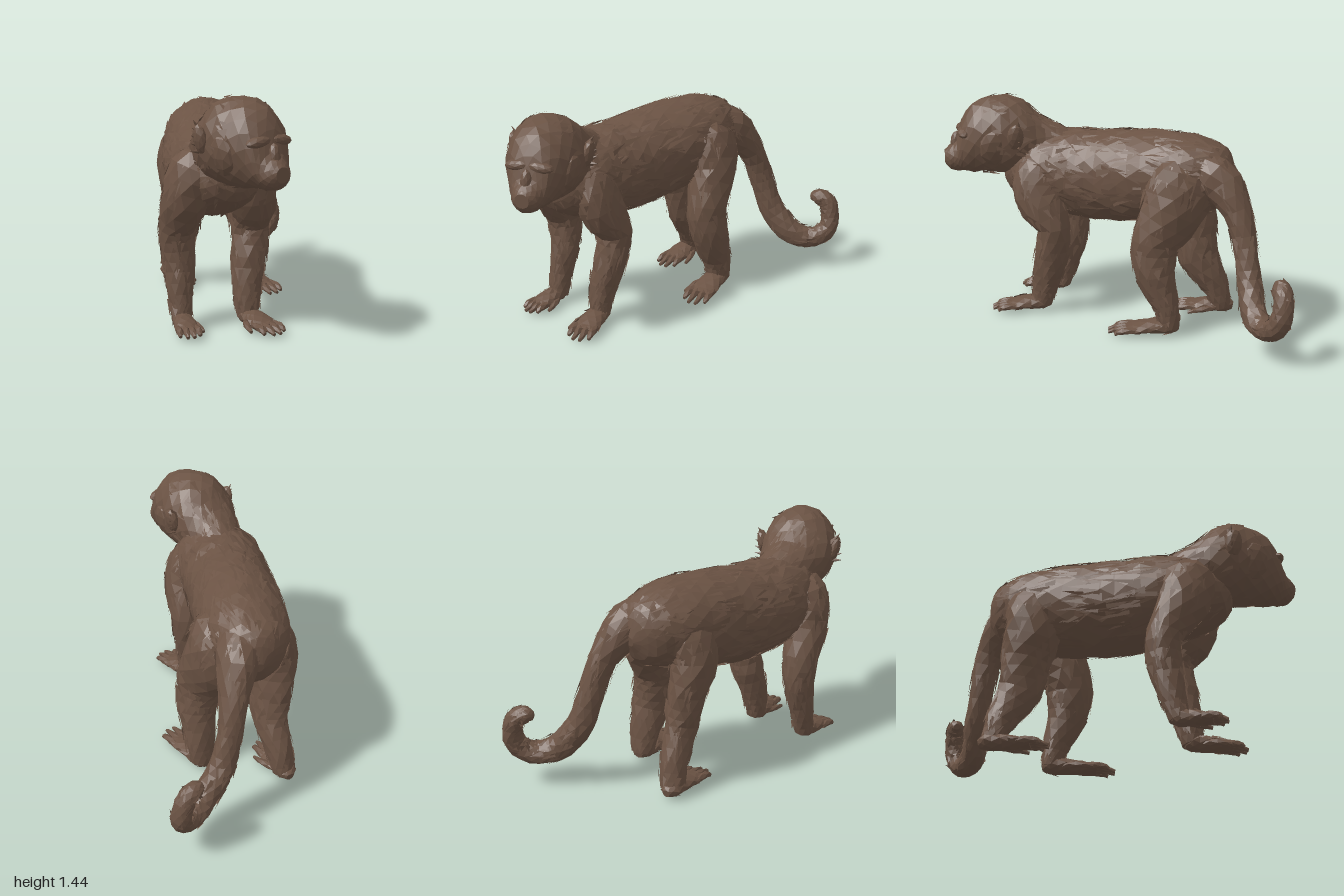
import * as THREE from 'three';

const furBrown = new THREE.MeshStandardMaterial({ color: 0x6b5344, flatShading: true, side: THREE.DoubleSide });
furBrown.name = 'furBrown';

// Seeded random numbers
let seed = 7;
const rand = () => {
  seed = (seed * 16807) % 2147483647;
  return seed / 2147483647;
};
const vary = (amount) => (rand() * 2 - 1) * amount;

const SIDE_X = new THREE.Vector3(1, 0, 0);
const SIDE_BODY = new THREE.Vector3(0.85, 0, 0.53).normalize(); // across the slanted body
const SIDE_TAIL = new THREE.Vector3(0, 0, 1);
const BACKWARD = new THREE.Vector3(0, 0, -1);

function addMesh(group, name, positions, index) {
  const geometry = new THREE.BufferGeometry();
  geometry.setAttribute('position', new THREE.Float32BufferAttribute(positions, 3));
  if (index) geometry.setIndex(index);
  geometry.computeVertexNormals();
  const mesh = new THREE.Mesh(geometry, furBrown);
  mesh.name = name;
  group.add(mesh);
}

// Lofts elliptical rings along a path of [x, y, z, sideRadius, otherRadius] and covers it with fur tufts.
// Rings follow the path unless a fixed axis is given.
function loft(name, sections, { side = SIDE_X, axis, rings = 20, sides = 12, rough = 0.05, tufts = 0, length = 0.1, from = 0, to = 0.93 } = {}) {
  const group = new THREE.Group();
  group.name = name;
  const path = new THREE.CatmullRomCurve3(sections.map((s) => new THREE.Vector3(s[0], s[1], s[2])), false, 'catmullrom');
  const radii = new THREE.CatmullRomCurve3(sections.map((s) => new THREE.Vector3(s[3], s[4], 0)), false, 'catmullrom');

  const surface = (t, angle, scale = 1, lift = 0) => {
    const tangent = axis || path.getTangent(t);
    const a = side.clone().addScaledVector(tangent, -side.dot(tangent)).normalize();
    const b = new THREE.Vector3().crossVectors(tangent, a);
    const r = radii.getPoint(t);
    return path.getPoint(t)
      .addScaledVector(a, Math.cos(angle) * (Math.max(r.x, 0.003) * scale + lift))
      .addScaledVector(b, Math.sin(angle) * (Math.max(r.y, 0.003) * scale + lift));
  };

  const positions = [];
  const index = [];
  for (let i = 0; i <= rings; i++) {
    for (let j = 0; j < sides; j++) {
      const angle = ((j + (i % 2) * 0.5) / sides) * Math.PI * 2;
      positions.push(...surface(i / rings, angle, 1 + vary(rough)).toArray());
      if (i === rings) continue;
      const k = (j + 1) % sides;
      const a = i * sides + j, b = i * sides + k, c = a + sides, d = b + sides;
      if (i % 2) index.push(a, b, d, a, d, c);
      else index.push(a, b, c, b, d, c);
    }
  }
  for (let j = 1; j < sides - 1; j++) {
    const e = rings * sides;
    index.push(0, j + 1, j, e, e + j, e + j + 1);
  }
  addMesh(group, name + 'Body', positions, index);

  // Tufts are broad blades whose tips lift off the skin
  const total = path.getLength();
  const blades = [];
  for (let n = 0; n < tufts; n++) {
    const t = from + rand() * (to - from);
    const angle = rand() * Math.PI * 2;
    const r = radii.getPoint(t);
    const half = (0.012 + rand() * 0.016) / Math.max(0.05, (r.x + r.y) / 2);
    const tip = Math.min(1, t + (length * (0.6 + rand() * 0.7)) / total);
    blades.push(
      ...surface(t, angle - half, 1, vary(0.008)).toArray(),
      ...surface(t, angle + half, 1, vary(0.008)).toArray(),
      ...surface(tip, angle + vary(0.15), 1, 0.003 + rand() * 0.012).toArray());
  }
  if (tufts) addMesh(group, name + 'Fur', blades);
  return group;
}

// Flat palm with four toes and a thumb, from heel [x, z] to toe tip [x, z]
function foot(name, heel, tip, width, thumbSide) {
  const group = new THREE.Group();
  group.name = name;
  const dx = tip[0] - heel[0], dz = tip[1] - heel[1];
  const len = Math.hypot(dx, dz);
  const across = new THREE.Vector3(dz / len, 0, -dx / len);
  const at = (f, s, y, w, h) => [heel[0] + dx * f + across.x * s, y, heel[1] + dz * f + across.z * s, w, h];
  group.add(loft('palm', [
    at(-0.12, 0, 0.05, 0.025, 0.025), at(0, 0, 0.058, width * 0.75, 0.048), at(0.25, 0, 0.058, width * 0.85, 0.047),
    at(0.5, 0, 0.05, width * 0.95, 0.035), at(0.72, 0, 0.04, width * 0.85, 0.022),
  ], { side: across, rings: 8, sides: 8, tufts: 12, length: 0.05 }));
  for (let i = 0; i < 4; i++) {
    const s = (i - 1.5) * width * 0.5;
    const reach = i === 0 || i === 3 ? 0.9 : 1;
    group.add(loft('toe', [
      at(0.5, s * 0.9, 0.045, 0.022, 0.022), at(0.78, s, 0.045, 0.022, 0.022), at(reach, s * 1.05, 0.025, 0.011, 0.012),
    ], { side: across, rings: 4, sides: 5 }));
  }
  const s = thumbSide * width;
  group.add(loft('thumb', [
    at(0.2, s * 0.5, 0.045, 0.025, 0.022), at(0.42, s * 1.0, 0.04, 0.023, 0.02), at(0.66, s * 1.25, 0.024, 0.011, 0.011),
  ], { side: across, rings: 4, sides: 5 }));
  return group;
}

function blob(name, x, y, z, sx, sy, sz, turn = 0) {
  const mesh = new THREE.Mesh(new THREE.IcosahedronGeometry(1, 1), furBrown);
  mesh.name = name;
  mesh.position.set(x, y, z);
  mesh.scale.set(sx, sy, sz);
  mesh.rotation.z = turn;
  return mesh;
}

function createHead() {
  const head = new THREE.Group();
  head.name = 'head';
  const cx = -0.58;
  // Skull runs from the muzzle back into the neck
  head.add(loft('skull', [
    [cx, 1.035, 0.998, 0.045, 0.045], [cx, 1.03, 0.965, 0.08, 0.08], [cx, 1.045, 0.92, 0.105, 0.108],
    [cx, 1.105, 0.885, 0.135, 0.17], [cx, 1.155, 0.81, 0.178, 0.228], [cx, 1.175, 0.7, 0.215, 0.255],
    [cx, 1.175, 0.58, 0.238, 0.262], [-0.575, 1.155, 0.47, 0.225, 0.24], [-0.55, 1.11, 0.35, 0.19, 0.18],
    [-0.49, 1.06, 0.2, 0.15, 0.16], [-0.43, 1.03, 0.05, 0.07, 0.08],
  ], { axis: BACKWARD, rings: 20, sides: 14, rough: 0.025, tufts: 130, from: 0.45, to: 0.9, length: 0.08 }));
  // Nose bridge, brows, eyes, cheeks and ears
  head.add(blob('nose', cx, 1.115, 0.918, 0.038, 0.09, 0.042));
  for (const s of [-1, 1]) {
    head.add(blob('brow', cx + s * 0.07, 1.21, 0.872, 0.085, 0.035, 0.045, s * -0.12));
    head.add(blob('eye', cx + s * 0.065, 1.155, 0.885, 0.028, 0.022, 0.02));
    head.add(blob('cheek', cx + s * 0.165, 1.12, 0.68, 0.06, 0.13, 0.11, s * -0.25));
    head.add(blob('ear', cx + s * 0.235, 1.2, 0.55, 0.035, 0.09, 0.055, s * -0.2));
    // Pointed hair behind each ear
    for (let i = 0; i < 5; i++) {
      const hair = new THREE.Mesh(new THREE.ConeGeometry(0.025, 0.1, 4), furBrown);
      hair.name = 'earHair';
      hair.position.set(cx + s * 0.24, 1.13 + i * 0.035, 0.53);
      hair.rotation.z = s * (-1.5 + i * 0.22);
      head.add(hair);
    }
  }
  return head;
}

export function createModel() {
  seed = 7;
  const model = new THREE.Group();
  model.name = 'monkey';
  model.add(createHead());

  model.add(loft('torso', [
    [-0.57, 1.04, 0.55, 0.12, 0.13], [-0.54, 0.98, 0.43, 0.235, 0.23], [-0.47, 0.94, 0.2, 0.275, 0.28],
    [-0.36, 0.93, 0, 0.28, 0.295], [-0.23, 0.95, -0.2, 0.28, 0.3], [-0.08, 0.99, -0.42, 0.28, 0.28],
    [0.03, 1.0, -0.6, 0.245, 0.245], [0.1, 0.98, -0.73, 0.16, 0.18], [0.13, 0.97, -0.79, 0.03, 0.03],
  ], { side: SIDE_BODY, rings: 24, sides: 18, rough: 0.03, tufts: 600, length: 0.13, to: 0.85 }));

  model.add(loft('tail', [
    [0.05, 1.09, -0.48, 0.09, 0.1], [0.18, 1.03, -0.66, 0.135, 0.13], [0.31, 0.82, -0.77, 0.09, 0.088],
    [0.375, 0.6, -0.81, 0.075, 0.08], [0.45, 0.4, -0.82, 0.08, 0.085], [0.58, 0.25, -0.82, 0.08, 0.085],
    [0.72, 0.205, -0.86, 0.075, 0.07], [0.825, 0.27, -0.9, 0.07, 0.065], [0.835, 0.38, -0.925, 0.065, 0.06],
    [0.8, 0.465, -0.93, 0.06, 0.06], [0.735, 0.485, -0.93, 0.05, 0.052], [0.695, 0.475, -0.93, 0.02, 0.02],
  ], { side: SIDE_TAIL, rings: 34, sides: 10, tufts: 150, length: 0.09 }));

  // Limbs start deep inside the torso so shoulders and hips blend in
  const limb = { side: SIDE_X, rings: 18, sides: 11, rough: 0.05, tufts: 130, length: 0.1 };
  model.add(loft('leftArm', [
    [-0.46, 1.13, 0.31, 0.04, 0.05], [-0.4, 0.99, 0.37, 0.125, 0.165], [-0.34, 0.8, 0.395, 0.14, 0.17],
    [-0.28, 0.6, 0.315, 0.11, 0.115], [-0.31, 0.4, 0.33, 0.105, 0.115], [-0.35, 0.2, 0.365, 0.085, 0.09],
    [-0.36, 0.05, 0.39, 0.065, 0.065],
  ], limb));
  model.add(loft('rightArm', [
    [-0.58, 1.12, 0.3, 0.04, 0.05], [-0.67, 0.98, 0.3, 0.145, 0.165], [-0.71, 0.8, 0.25, 0.135, 0.155],
    [-0.7, 0.6, 0.14, 0.115, 0.11], [-0.69, 0.4, 0.14, 0.095, 0.105], [-0.71, 0.2, 0.18, 0.075, 0.08],
    [-0.72, 0.05, 0.21, 0.062, 0.06],
  ], limb));
  model.add(loft('leftLeg', [
    [-0.01, 1.17, -0.52, 0.04, 0.06], [0.09, 1.0, -0.46, 0.17, 0.22], [0.145, 0.8, -0.38, 0.15, 0.2],
    [0.14, 0.6, -0.28, 0.135, 0.155], [0.16, 0.4, -0.28, 0.125, 0.13], [0.19, 0.2, -0.345, 0.1, 0.085],
    [0.2, 0.05, -0.37, 0.075, 0.065],
  ], limb));
  model.add(loft('rightLeg', [
    [-0.06, 1.17, -0.52, 0.04, 0.06], [-0.14, 1.0, -0.53, 0.15, 0.18], [-0.19, 0.8, -0.56, 0.145, 0.18],
    [-0.16, 0.6, -0.6, 0.115, 0.155], [-0.135, 0.4, -0.63, 0.1, 0.135], [-0.12, 0.2, -0.74, 0.085, 0.09],
    [-0.12, 0.05, -0.79, 0.07, 0.065],
  ], limb));

  model.add(foot('leftHand', [-0.36, 0.38], [-0.39, 0.72], 0.088, -1));
  model.add(foot('rightHand', [-0.72, 0.2], [-0.83, 0.47], 0.075, 1));
  model.add(foot('leftFoot', [0.2, -0.38], [0.135, 0.02], 0.095, -1));
  model.add(foot('rightFoot', [-0.12, -0.82], [-0.23, -0.46], 0.085, 1));
  return model;
}
